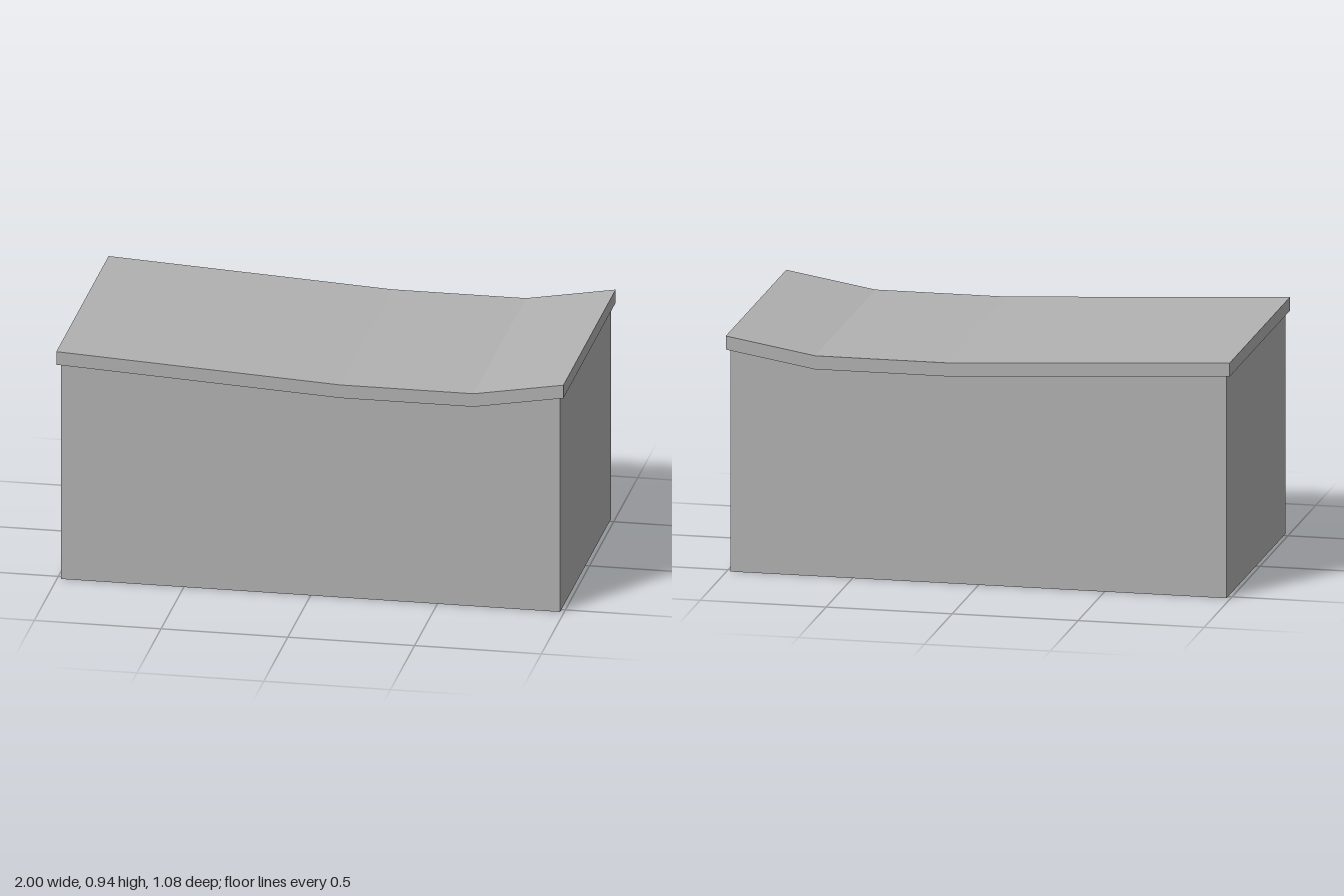
import * as THREE from 'three';

const roofHalfDepth = 0.542, wallX = 0.984, wallZ = 0.526, thickness = 0.054;
// Sagging roof line along x (top surface)
const roofLine = [[-1, 0.944], [0.12, 0.884], [0.646, 0.884], [1, 0.944]];

// Height of the roof underside at a given x
function undersideAt(x) {
  for (let i = 1; i < roofLine.length; i++) {
    const [x0, y0] = roofLine[i - 1], [x1, y1] = roofLine[i];
    if (x <= x1) return y0 + (y1 - y0) * (x - x0) / (x1 - x0) - thickness;
  }
}

const shapeOf = (points) => new THREE.Shape(points.map(([x, y]) => new THREE.Vector2(x, y)));

export function createModel() {
  const group = new THREE.Group();
  const grey = new THREE.MeshStandardMaterial({ name: 'grey', color: 0xb2b2b2, side: THREE.DoubleSide });

  const add = (name, geometry) => {
    const mesh = new THREE.Mesh(geometry, grey);
    mesh.name = name;
    group.add(mesh);
    return mesh;
  };

  // Roof slab: the bent profile extruded through the depth
  const lower = roofLine.map(([x, y]) => [x, y - thickness]);
  const roof = new THREE.ExtrudeGeometry(shapeOf([...lower, ...[...roofLine].reverse()]), {
    depth: roofHalfDepth * 2, bevelEnabled: false,
  });
  roof.translate(0, 0, -roofHalfDepth);
  add('roof', roof);

  // Long thin walls, cut along the roof underside; the base stays open
  const wallTop = [wallX, 0.646, 0.12, -wallX].map((x) => [x, undersideAt(x)]);
  const longWall = new THREE.ShapeGeometry(shapeOf([[-wallX, 0], [wallX, 0], ...wallTop]));
  add('frontWall', longWall).position.z = wallZ;
  const back = add('backWall', longWall.clone().rotateY(Math.PI).scale(-1, 1, 1));
  // Mirroring reverses the corner order, so turn the faces outward again
  const index = back.geometry.index;
  for (let i = 0; i < index.count; i += 3) {
    const a = index.getX(i);
    index.setX(i, index.getX(i + 2));
    index.setX(i + 2, a);
  }
  back.position.z = -wallZ;

  // End walls
  for (const side of [-1, 1]) {
    const height = undersideAt(side * wallX);
    const wall = add(side > 0 ? 'leftWall' : 'rightWall', new THREE.PlaneGeometry(wallZ * 2, height));
    wall.rotation.y = side * Math.PI / 2;
    wall.position.set(side * wallX, height / 2, 0);
  }
  return group;
}
